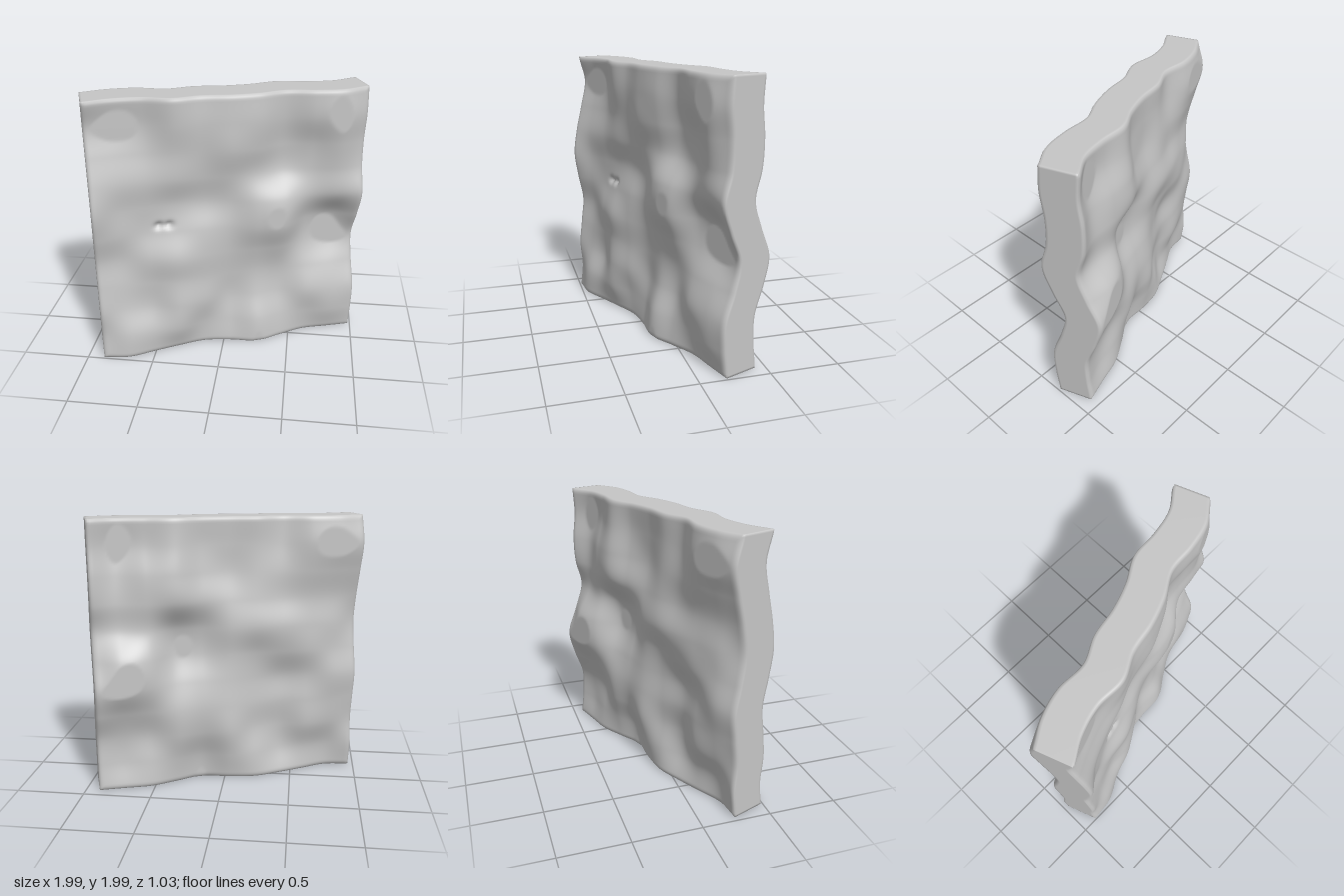
import * as THREE from 'three';
import { mergeVertices } from 'three/addons/utils/BufferGeometryUtils.js';

const WIDTH = 1.98, HEIGHT = 1.988, THICK = 0.274, LIMIT = 0.075;

// Swell of the slab in hundredths: rows run top to bottom, columns left to right
const SWELL = [
  [-2, -6, -5, 2, 0, 3, 3, 0, 5, 7, 2],
  [-7, -9, -7, 1, 1, 4, 4, -1, 5, 9, 3],
  [-3, -5, -5, -1, 0, 4, 2, -4, 0, 6, 1],
  [2, -1, -2, -1, -2, 0, -1, -4, -1, 4, 2],
  [5, -2, -4, -5, -5, -2, 5, 6, 1, 4, 7],
  [2, -2, -4, -2, 0, 0, 6, 7, -5, -7, 1],
  [-2, -4, 0, 4, 2, -1, 1, 1, -6, -9, -7],
  [0, -2, -1, 3, 1, -3, -2, -3, -1, -1, -3],
  [2, 0, -1, 5, 2, -4, 0, -2, 4, 5, 4],
  [0, 5, 4, 5, -1, -1, 6, 2, 2, 5, 4],
  [2, 6, 3, 0, -2, 2, 8, 4, 0, 1, 2],
];

// Smooth cubic interpolation along a row of values
function spline(values, t) {
  const n = values.length - 1;
  const i = Math.min(Math.floor(t), n - 1), f = t - i;
  const at = (k) => values[THREE.MathUtils.clamp(k, 0, n)];
  const [a, b, c, d] = [at(i - 1), at(i), at(i + 1), at(i + 2)];
  return b + 0.5 * f * (c - a + f * (2 * a - 5 * b + 4 * c - d + f * (3 * (b - c) + d - a)));
}

// Sideways shift of the slab, cut flat at the extremes
function swell(x, y) {
  const tx = THREE.MathUtils.clamp((x + 1) * 5, 0, 10);
  const ty = THREE.MathUtils.clamp((1 - y) * 5, 0, 10);
  const w = spline(SWELL.map((row) => spline(row, tx)), ty) / 100;
  return THREE.MathUtils.clamp(w, -LIMIT, LIMIT);
}

// Small twin pit on the front
function pit(x, y) {
  let depth = 0;
  for (const cx of [-0.52, -0.445]) {
    depth += 0.028 * Math.exp(-(((x - cx) / 0.032) ** 2) - ((y - 0.05) / 0.025) ** 2);
  }
  return depth;
}

export function createModel() {
  const group = new THREE.Group();
  group.name = 'wavySlab';
  const stone = new THREE.MeshStandardMaterial({ color: 0xc6c6c6 });
  stone.name = 'grey stone';

  // Shared corners give the rim a soft, continuous shading
  let geometry = new THREE.BoxGeometry(WIDTH, HEIGHT, THICK, 140, 140, 16);
  geometry.deleteAttribute('normal');
  geometry.deleteAttribute('uv');
  geometry = mergeVertices(geometry);

  const pos = geometry.attributes.position;
  for (let i = 0; i < pos.count; i++) {
    const x = pos.getX(i), y = pos.getY(i);
    let z = pos.getZ(i);
    // Softened rim on both faces
    const edge = Math.min(WIDTH / 2 - Math.abs(x), HEIGHT / 2 - Math.abs(y));
    z *= 1 - 0.09 * Math.max(0, 1 - edge / 0.03) ** 2;
    // The pit sinks only the front skin
    if (z > THICK * 0.4) z -= pit(x, y);
    pos.setZ(i, z + 0.011 + swell(x, y));
  }
  geometry.computeVertexNormals();

  const slab = new THREE.Mesh(geometry, stone);
  slab.name = 'slab';
  slab.position.y = HEIGHT / 2;
  slab.rotation.y = THREE.MathUtils.degToRad(20);
  group.add(slab);
  return group;
}
